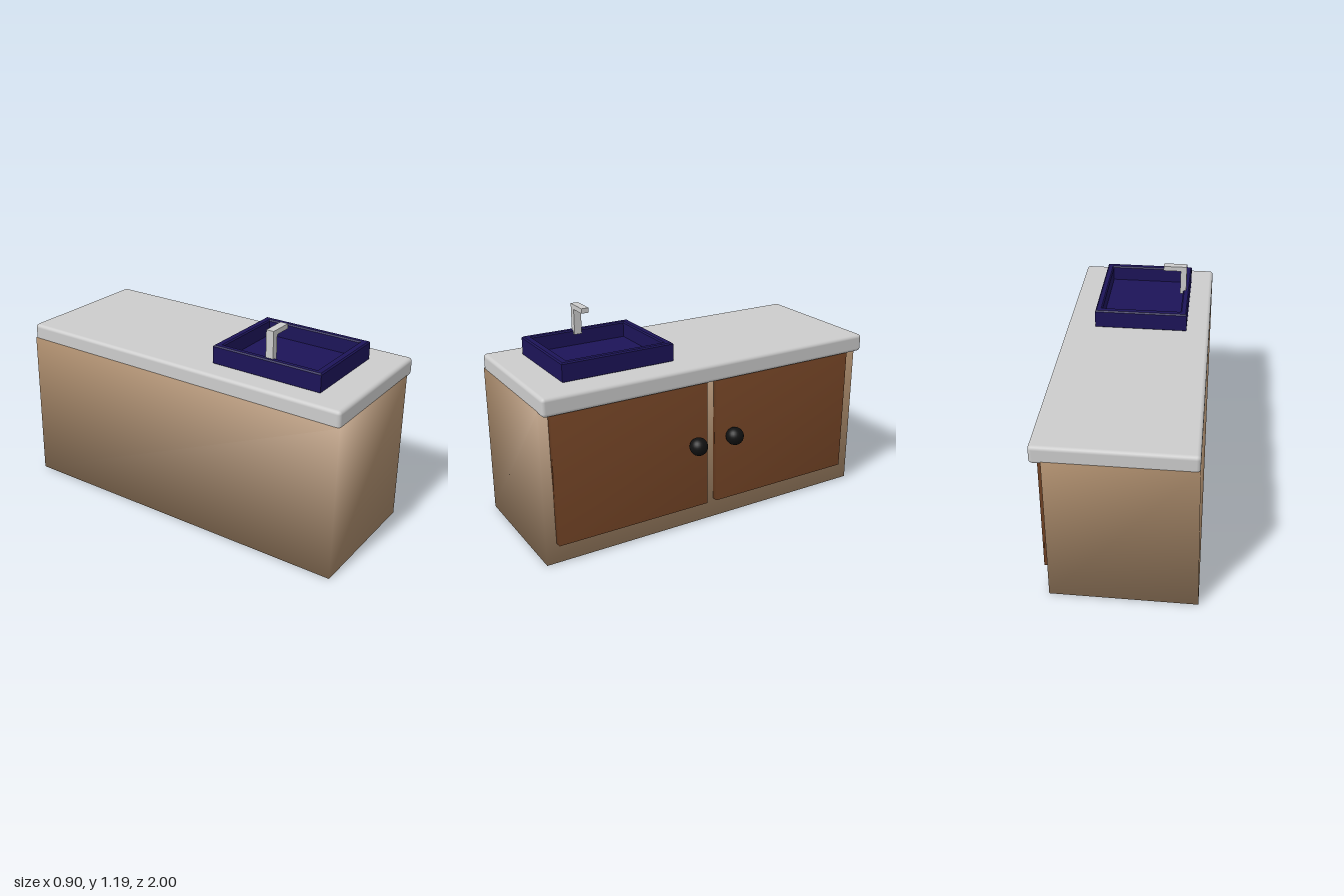
import * as THREE from 'three';
import { mergeVertices } from 'three/addons/utils/BufferGeometryUtils.js';
import { RoundedBoxGeometry } from 'three/addons/geometries/RoundedBoxGeometry.js';

const paint = (color) => new THREE.MeshStandardMaterial({ color });

function add(parent, name, geometry, material, x = 0, y = 0, z = 0) {
  const mesh = new THREE.Mesh(geometry, material);
  mesh.name = name;
  mesh.position.set(x, y, z);
  parent.add(mesh);
  return mesh;
}

// Box between two corners, with corner normals shared and vertices moved by a rule
function softBox([x0, y0, z0], [x1, y1, z1], rule) {
  let g = new THREE.BoxGeometry(x1 - x0, y1 - y0, z1 - z0);
  g.translate((x0 + x1) / 2, (y0 + y1) / 2, (z0 + z1) / 2);
  g.deleteAttribute('normal');
  g.deleteAttribute('uv');
  g = mergeVertices(g);
  const p = g.attributes.position;
  const v = new THREE.Vector3();
  for (let i = 0; i < p.count; i++) {
    rule(v.fromBufferAttribute(p, i));
    p.setXYZ(i, v.x, v.y, v.z);
  }
  g.computeVertexNormals();
  return g;
}

function rectangle(Type, w, h) {
  return new Type([[-1, -1], [1, -1], [1, 1], [-1, 1]]
    .map(([x, y]) => new THREE.Vector2(x * w / 2, y * h / 2)));
}

export function createModel() {
  const model = new THREE.Group();
  model.name = 'sinkCabinet';
  const wood = paint(0xa8896a);
  const doorWood = paint(0x7a4828);
  const blue = paint(0x1c1458);
  const black = paint(0x111111);
  const grey = paint(0xcccccc);

  // Cabinet body, its rear foot leaning out slightly
  add(model, 'cabinetBody', softBox([-0.43, 0, -1], [0.32, 0.857, 1], (v) => {
    if (v.x < 0 && v.y < 0.1) v.x = v.z < 0 ? -0.455 : -0.437;
  }), wood);

  // Countertop with rounded edges
  add(model, 'countertop', new RoundedBoxGeometry(0.81, 0.1, 2, 2, 0.02), grey, -0.025, 0.89, 0);

  // Two slightly skewed doors with round knobs
  const doors = [
    { name: 'nearDoor', z0: 0.045, z1: 0.945, knobX: 0.4, knobZ: 0.13 },
    { name: 'farDoor', z0: -0.915, z1: -0.015, knobX: 0.383, knobZ: -0.115 },
  ];
  for (const d of doors) {
    const door = new THREE.Group();
    door.name = d.name;
    model.add(door);
    add(door, 'doorPanel', softBox([0.31, 0.115, d.z0], [0.355, 0.845, d.z1], (v) => {
      if (d.z0 > 0 || v.z > -0.5) v.z += v.y > 0.5 ? 0.005 : -0.004;
    }), doorWood);
    add(door, 'knob', new THREE.SphereGeometry(0.05, 24, 16), black, d.knobX, 0.5, d.knobZ);
  }

  // Open basin standing on the counter
  const basin = new THREE.Group();
  basin.name = 'basin';
  basin.position.set(-0.04, 0.935, 0.5);
  model.add(basin);
  const bevel = 0.007;
  const rim = rectangle(THREE.Shape, 0.52 - 2 * bevel, 0.64 - 2 * bevel);
  rim.holes.push(rectangle(THREE.Path, 0.445 + 2 * bevel, 0.555 + 2 * bevel));
  const walls = new THREE.ExtrudeGeometry(rim, {
    depth: 0.107 - 2 * bevel, bevelSize: bevel, bevelThickness: bevel, bevelSegments: 1,
  });
  walls.rotateX(-Math.PI / 2);
  add(basin, 'basinWalls', walls, blue, 0, bevel, 0);
  add(basin, 'basinFloor', new THREE.BoxGeometry(0.46, 0.02, 0.57), blue, 0, 0.01, 0);

  // Tap bent at a right angle over the basin
  const outline = [[-0.28, 1.02], [-0.245, 1.02], [-0.245, 1.163], [-0.145, 1.163], [-0.145, 1.19], [-0.28, 1.19]];
  const tap = new THREE.ExtrudeGeometry(
    new THREE.Shape(outline.map(([x, y]) => new THREE.Vector2(x, y))),
    { depth: 0.043, bevelEnabled: false });
  add(model, 'tap', tap, grey, 0, 0, 0.49);

  return model;
}
